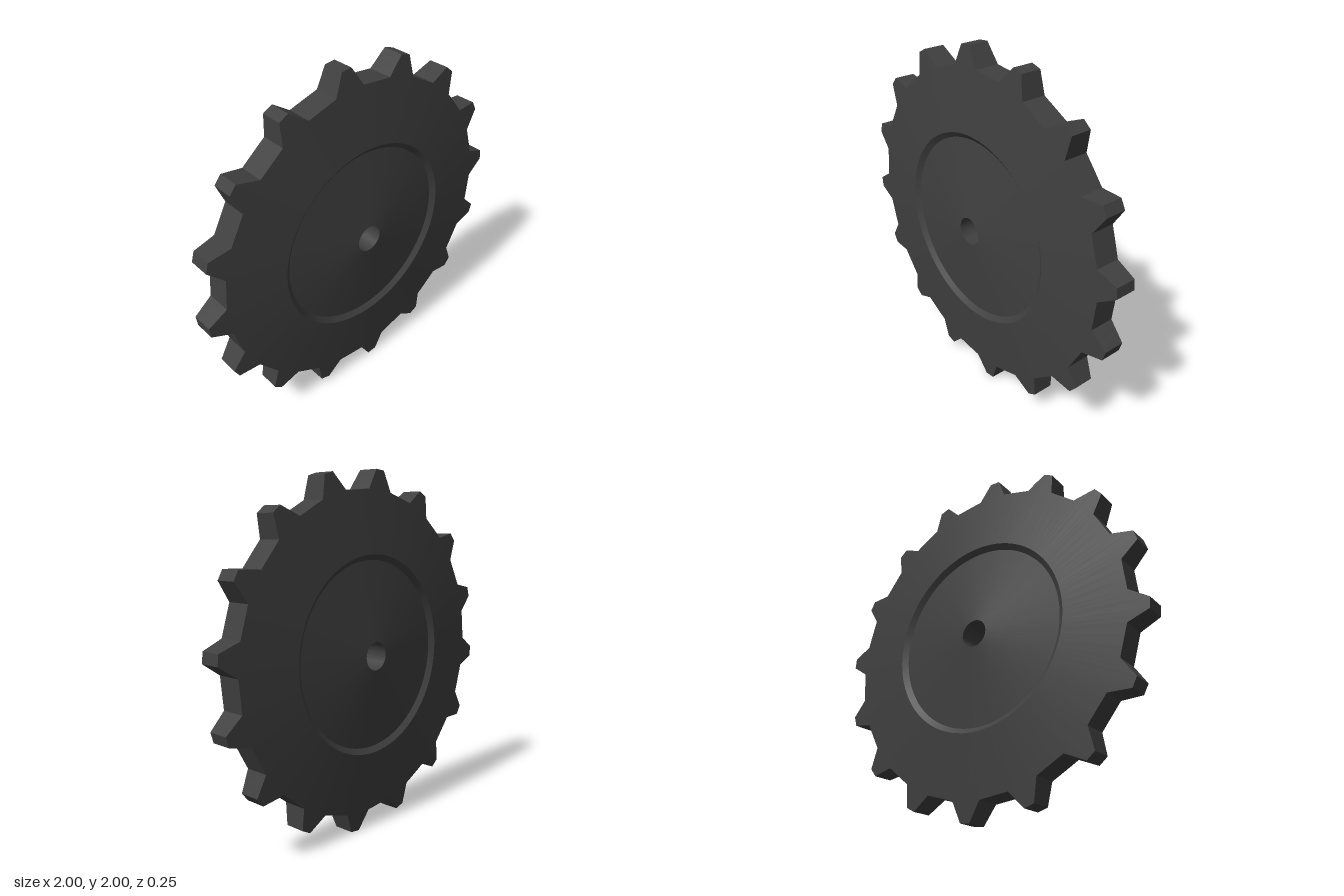
import * as THREE from 'three';
import { toCreasedNormals } from 'three/addons/utils/BufferGeometryUtils.js';

const TEETH = 16;
const STEP = (Math.PI * 2) / TEETH;
const at = (deg, r) => new THREE.Vector2().setFromPolar
  ? new THREE.Vector2().setFromPolar(r, deg)
  : new THREE.Vector2(r * Math.cos(deg * Math.PI / 180), r * Math.sin(deg * Math.PI / 180));

// One tooth and the straight valley after it: [degrees, radius, subdivisions to next corner]
const TOOTH = [[0, 0.895, 2], [4.0, 1.003, 1], [7.4, 1.003, 2], [11.25, 0.895, 3]];

// Toothed outline as 2D points, counterclockwise
function outline() {
  const pts = [];
  for (let t = 0; t < TEETH; t++) {
    TOOTH.forEach(([deg, r, n], k) => {
      const [deg2, r2] = k < TOOTH.length - 1 ? TOOTH[k + 1] : [22.5, TOOTH[0][1]];
      const a = at(deg, r), b = at(deg2, r2);
      for (let i = 0; i < n; i++) {
        pts.push(a.clone().lerp(b, i / n).rotateAround(new THREE.Vector2(), t * STEP));
      }
    });
  }
  return pts;
}

// Sweep a closed radial section round the axle, its outer edge following the teeth
function sprocketGeometry() {
  const rim = outline();
  const count = rim.length;
  const pos = [], index = [];
  for (const p of rim) {
    const r = p.length(), ang = Math.atan2(p.y, p.x);
    const front = [
      [0.078, 0.125],                  // axle hole edge
      [0.52, 0.082],                   // foot of the recess wall
      [0.55, 0.105],                   // top of the recess wall
      [r, 0.105 - 0.1 * (r - 0.55)],   // toothed rim
    ];
    const back = front.map(([a, z]) => [a, -z]).reverse();
    for (const [a, z] of [...front, ...back]) pos.push(a * Math.cos(ang), a * Math.sin(ang), z);
  }
  const m = 8;
  for (let j = 0; j < count; j++) {
    const k = (j + 1) % count;
    for (let i = 0; i < m; i++) {
      const n = (i + 1) % m;
      const a = j * m + i, b = j * m + n, c = k * m + n, d = k * m + i;
      index.push(a, b, c, a, c, d);
    }
  }
  const g = new THREE.BufferGeometry();
  g.setAttribute('position', new THREE.Float32BufferAttribute(pos, 3));
  g.setIndex(index);
  return toCreasedNormals(g, 0.3);
}

export function createModel() {
  const group = new THREE.Group();
  group.name = 'sprocketWheel';
  const metal = new THREE.MeshStandardMaterial({ color: 0x404040 });
  const wheel = new THREE.Mesh(sprocketGeometry(), metal);
  wheel.name = 'toothedDisc';
  wheel.position.y = 1;
  group.add(wheel);
  return group;
}
